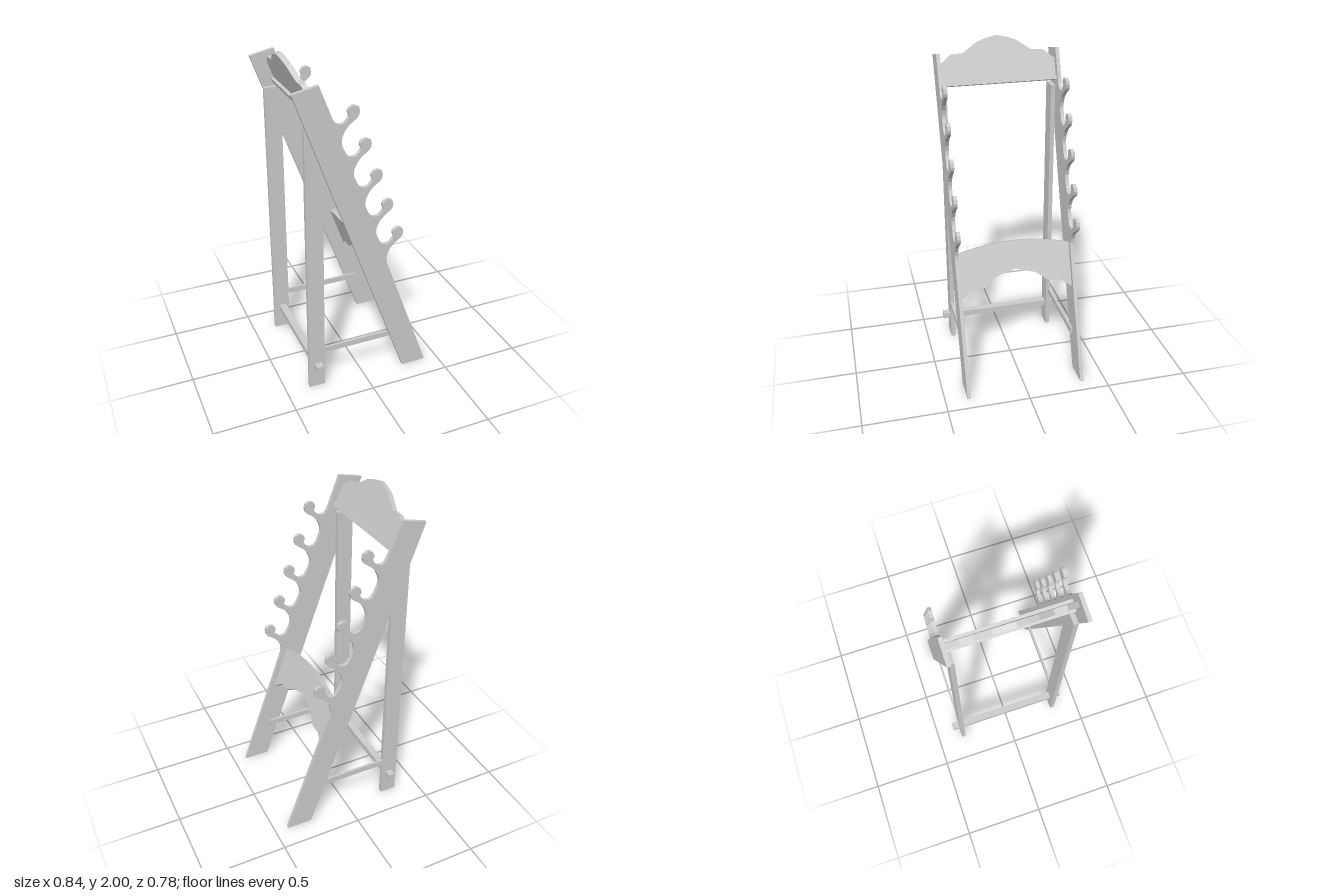
import * as THREE from 'three';

const TILT = Math.atan(0.363); // backward lean of the side planks
const material = new THREE.MeshStandardMaterial({ color: 0xcccccc, flatShading: true });

function add(parent, name, geometry, x = 0, y = 0, z = 0) {
  const mesh = new THREE.Mesh(geometry, material);
  mesh.name = name;
  mesh.position.set(x, y, z);
  parent.add(mesh);
  return mesh;
}

// Box given by its limits on each axis
function addBar(parent, name, [x0, x1], [y0, y1], [z0, z1]) {
  return add(parent, name, new THREE.BoxGeometry(x1 - x0, y1 - y0, z1 - z0),
    (x0 + x1) / 2, (y0 + y1) / 2, (z0 + z1) / 2);
}

function extrude(points, depth) {
  const shape = new THREE.Shape(points.map(([x, y]) => new THREE.Vector2(x, y)));
  return new THREE.ExtrudeGeometry(shape, { depth, bevelEnabled: false });
}

// Full outline from half an edge, listed from the centre outwards
function mirrorEdge(half) {
  return [...half.slice(1).reverse().map(([x, y]) => [-x, y]), ...half];
}

// Panel across the frame, leaning with the planks; (x, y) is its lower front reference point
function addLeaning(parent, name, points, depth, x, y, front) {
  const geometry = extrude(points, depth).translate(0, 0, front - depth);
  add(parent, name, geometry, x, y, 0).rotation.set(0, Math.PI / 2, TILT, 'ZYX');
}

// Leaning plank with five hooks along its front edge
function plankOutline() {
  const hook = [
    [-0.204, 1.73], [-0.185, 1.702], [-0.165, 1.696], [-0.14, 1.699], [-0.117, 1.722],
    [-0.111, 1.738], [-0.119, 1.752], [-0.118, 1.768], [-0.105, 1.784], [-0.082, 1.79],
    [-0.058, 1.778], [-0.052, 1.755], [-0.056, 1.735], [-0.066, 1.72], [-0.108, 1.69],
    [-0.133, 1.661], [-0.15, 1.628], [-0.155, 1.597], [-0.151, 1.575],
  ];
  const points = [[0.418, 0], [0.262, 0], [-0.424, 1.89], [-0.278, 1.921]];
  for (let i = 0; i < 5; i++) {
    for (const [x, y] of hook) points.push([x + i * 0.0703, y - i * 0.194]);
  }
  points.push([0.124, 0.81]);
  return points.reverse();
}

export function createModel() {
  const rack = new THREE.Group();
  rack.name = 'displayRack';

  // Two matching side frames: hooked plank, upright post and low rail
  for (const [side, s] of [['left', 1], ['right', -1]]) {
    const frame = new THREE.Group();
    frame.name = side === 'left' ? 'frontSideFrame' : 'rearSideFrame';
    const span = (a, b) => (s > 0 ? [a, b] : [-b, -a]);
    const [z0, z1] = span(0.345, 0.367);
    add(frame, 'hookedPlank', extrude(plankOutline(), z1 - z0), 0, 0, z0);
    addBar(frame, 'post', [-0.355, -0.255], [0, 1.7], span(0.317, 0.344));
    addBar(frame, 'sideRail', [-0.318, 0.238], [0.238, 0.275], span(0.332, 0.3455));
    rack.add(frame);
  }

  // Stretcher passing through both posts
  addBar(rack, 'stretcher', [-0.322, -0.278], [0.133, 0.17], [-0.388, 0.388]);

  // Scalloped top board resting on a narrow ledge
  const crest = mirrorEdge([[0, 0.28], [0.06, 0.266], [0.116, 0.247], [0.206, 0.185], [0.275, 0.183], [0.345, 0.128]]);
  addLeaning(rack, 'topBoard', [[-0.345, 0.02], ...crest, [0.345, 0.02]], 0.031, -0.232, 1.743, -0.018);
  addLeaning(rack, 'topLedge', [[-0.345, 0], [0.345, 0], [0.345, 0.027], [-0.345, 0.027]], 0.067, -0.232, 1.743, 0);

  // Apron with an arched top and a scalloped lower edge
  const arch = [];
  for (let i = 0; i <= 6; i++) {
    const z = (0.345 * i) / 6;
    arch.push([z, -0.047 * (z / 0.345) ** 2]);
  }
  const scallop = [[0, -0.172], [0.12, -0.207], [0.2, -0.267], [0.27, -0.267], [0.345, -0.325]];
  addLeaning(rack, 'apron', [...mirrorEdge(arch), ...mirrorEdge(scallop).reverse()], 0.033, 0.075, 0.855, 0);

  return rack;
}
